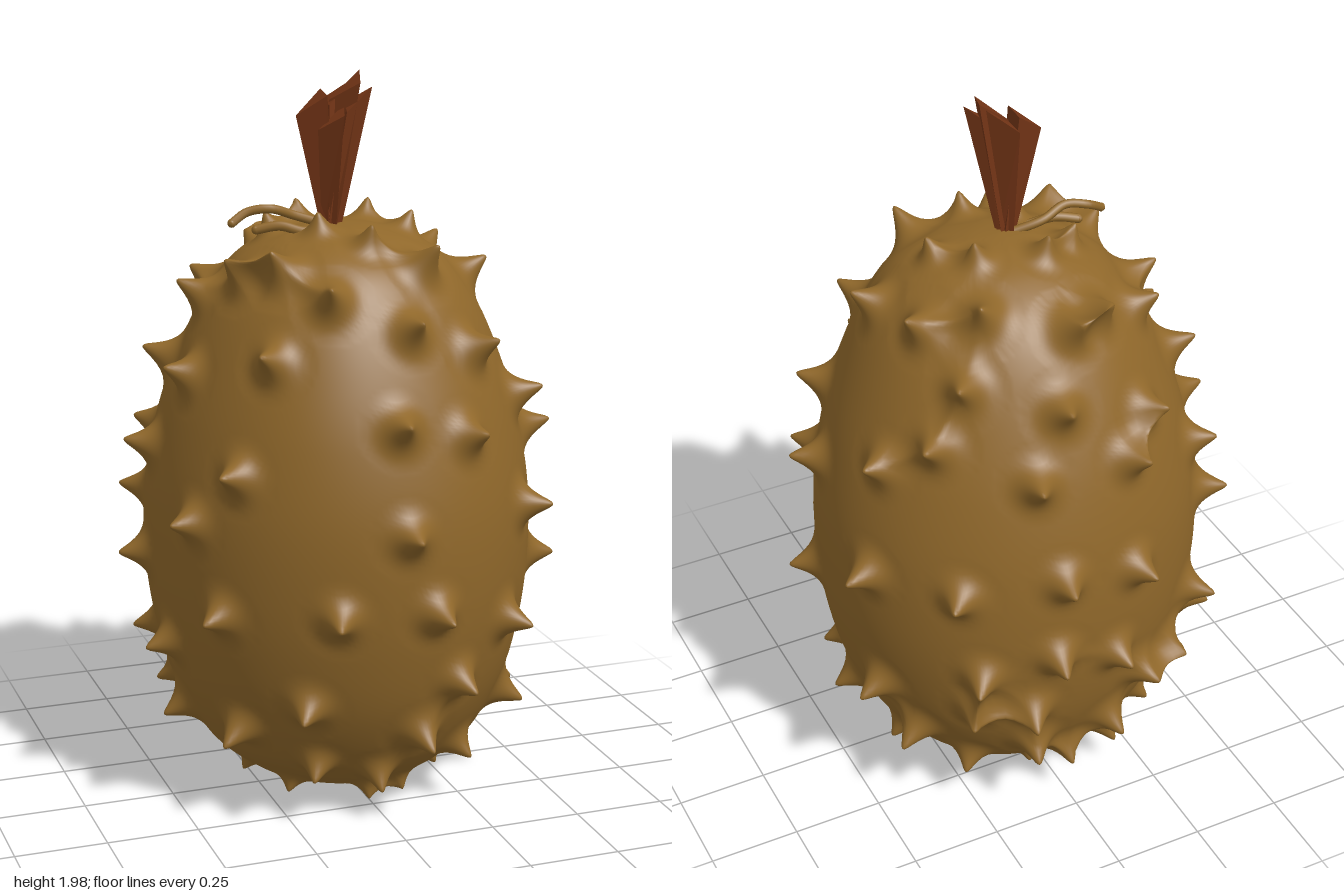
import * as THREE from 'three';
import { mergeVertices } from 'three/addons/utils/BufferGeometryUtils.js';

const V2 = (p) => new THREE.Vector2(p[0], p[1]);
const skin = new THREE.MeshStandardMaterial({ color: 0x8f672a });
const bark = new THREE.MeshStandardMaterial({ color: 0x743516, flatShading: true, side: THREE.DoubleSide });

// Fruit outline: [radius, height] from base to crown
const outlineCurve = new THREE.SplineCurve([
  [0, 0.03], [0.19, 0.04], [0.29, 0.09], [0.385, 0.18], [0.465, 0.33], [0.51, 0.5], [0.53, 0.68],
  [0.525, 0.88], [0.487, 1.08], [0.43, 1.25], [0.36, 1.4], [0.285, 1.5], [0.19, 1.56], [0.09, 1.59], [0, 1.6],
].map(V2));
const outline = outlineCurve.getSpacedPoints(190);

// The fruit leans slightly and is not quite round
const lean = (v) => {
  v.x -= 0.015 * (v.y - 0.1);
  v.z += 0.04 * (v.y - 0.95);
  return v;
};
const lumpy = (a, y) => 1 + 0.01 * Math.sin(3 * a + 2 * y) + 0.006 * Math.cos(5 * a - 3 * y);

// Spikes: [height of the tip, angles in degrees from the front towards +x]
const spikeRows = [
  [1.64, [125, 210, 315]],
  [1.62, [5, 80, 248]],
  [1.57, [30, 145, 310]],
  [1.53, [115, 205, 188, 287]],
  [1.49, [79, 338]],
  [1.45, [235, 260]],
  [1.4, [9, 140]],
  [1.33, [38, 176, 317]],
  [1.25, [132, 211, 250, 278]],
  [1.16, [0, 62, 114, 165, 198]],
  [1.11, [24]],
  [1.02, [80, 236, 262, 310]],
  [0.87, [1, 50, 172, 294]],
  [0.83, [113, 142, 196, 240]],
  [0.7, [262]],
  [0.64, [9, 77, 341]],
  [0.61, [170, 305]],
  [0.55, [39, 148, 190, 228]],
  [0.47, [278]],
  [0.41, [19, 112, 146, 163, 203, 217, 242]],
  [0.35, [331]],
  [0.24, [9, 62, 84, 122, 165, 195, 240, 270, 305]],
  [0.14, [35, 140, 180, 228, 332]],
  [0.1, [357, 100, 205]],
  [0.03, [20, 65, 130, 170, 215, 265, 310]],
  [0.01, [0, 110, 230]],
];

// Foot point, axis, height and spread of one thorn
function placeSpike(tipY, degrees, index) {
  const a = THREE.MathUtils.degToRad(degrees);
  const size = tipY < 0.08 ? 0.5 : tipY < 0.2 ? 0.8 : tipY > 1.6 ? 0.7 : 1;
  const height = 0.085 * size * (1 + 0.08 * Math.sin(index * 2.4));
  // Find the outline point whose thorn ends at the wanted height
  let best = Infinity, foot, tangent;
  for (let i = 1; i < outline.length - 1; i++) {
    const t = outline[i + 1].clone().sub(outline[i - 1]).normalize();
    const miss = Math.abs(outline[i].y - t.x * height - tipY);
    if (outline[i].x > 0.11 && miss < best) [best, foot, tangent] = [miss, outline[i], t];
  }
  const r = foot.x * lumpy(a, foot.y);
  return {
    foot: lean(new THREE.Vector3(r * Math.sin(a), foot.y, r * Math.cos(a))),
    axis: new THREE.Vector3(Math.sin(a) * tangent.y, -tangent.x, Math.cos(a) * tangent.y),
    height,
    spread: 0.11 * (0.3 + 0.7 * size),
  };
}

// Smooth body with the thorns drawn out of its skin
function makeBody() {
  const spikes = [];
  for (const [y, angles] of spikeRows) {
    for (const a of angles) spikes.push(placeSpike(y, a, spikes.length));
  }
  const lathe = new THREE.LatheGeometry(outline, 240);
  lathe.deleteAttribute('uv');
  lathe.deleteAttribute('normal');
  const geometry = mergeVertices(lathe, 1e-5);
  const pos = geometry.attributes.position;
  const v = new THREE.Vector3(), base = new THREE.Vector3(), side = new THREE.Vector3();
  for (let i = 0; i < pos.count; i++) {
    v.fromBufferAttribute(pos, i);
    const k = lumpy(Math.atan2(v.x, v.z), v.y);
    v.x *= k;
    v.z *= k;
    base.copy(lean(v));
    for (const { foot, axis, height, spread } of spikes) {
      side.copy(base).sub(foot);
      if (side.length() > spread) continue;
      side.addScaledVector(axis, -side.dot(axis));
      const u = side.length() / spread;
      // Pinch towards the axis and lift into a flared thorn
      v.addScaledVector(side, 0.6 * (u * u - 1));
      v.addScaledVector(axis, height * (1 - u * u) ** 2.6);
    }
    pos.setXYZ(i, v.x, v.y, v.z);
  }
  geometry.computeVertexNormals();
  const body = new THREE.Mesh(geometry, skin);
  body.name = 'spikyBody';
  return body;
}

// One splinter of the stalk: a three-sided wedge widening to a slanted broken top
function makeSplinter([x, y, z], turn, width) {
  const geometry = new THREE.CylinderGeometry(width, 0.024, 1, 3, 1);
  geometry.rotateY(turn);
  const pos = geometry.attributes.position;
  for (let i = 0; i < pos.count; i++) {
    const t = pos.getY(i) + 0.5;
    const px = pos.getX(i), pz = pos.getZ(i);
    pos.setXYZ(i,
      THREE.MathUtils.lerp(-0.05, x, t) + px,
      THREE.MathUtils.lerp(1.57, y, t) + t * px * 0.8,
      THREE.MathUtils.lerp(0.045, z, t) + pz);
  }
  geometry.computeVertexNormals();
  const splinter = new THREE.Mesh(geometry, bark);
  splinter.name = 'stalkSplinter';
  return splinter;
}

// Dry tendril lying on the crown
function makeTendril(points, radius) {
  const curve = new THREE.CatmullRomCurve3(points.map((p) => new THREE.Vector3(...p)));
  const tendril = new THREE.Group();
  tendril.name = 'tendril';
  const tube = new THREE.Mesh(new THREE.TubeGeometry(curve, 24, radius, 8), skin);
  tube.name = 'tendrilTube';
  const tip = new THREE.Mesh(new THREE.SphereGeometry(radius, 8, 6), skin);
  tip.name = 'tendrilTip';
  tip.position.copy(curve.getPoint(1));
  tendril.add(tube, tip);
  return tendril;
}

export function createModel() {
  const model = new THREE.Group();
  model.name = 'spikyFruit';
  model.add(makeBody());

  const stalk = new THREE.Group();
  stalk.name = 'stalk';
  stalk.add(
    makeSplinter([-0.09, 1.92, 0.03], 0.4, 0.05),
    makeSplinter([-0.03, 1.93, 0.015], 1.5, 0.05),
    makeSplinter([0.0, 1.96, 0.05], 2.3, 0.054),
    makeSplinter([0.005, 1.92, 0.075], 3.4, 0.046),
    makeSplinter([-0.05, 1.88, 0.08], 4.4, 0.045),
  );
  model.add(stalk);

  model.add(
    makeTendril([[-0.06, 1.59, 0.03], [-0.14, 1.615, 0.01], [-0.21, 1.638, 0.02], [-0.27, 1.63, 0.005], [-0.315, 1.605, 0.015]], 0.012),
    makeTendril([[-0.07, 1.585, 0.05], [-0.13, 1.58, 0.06], [-0.19, 1.595, 0.04], [-0.25, 1.585, 0.02]], 0.013),
  );
  return model;
}
